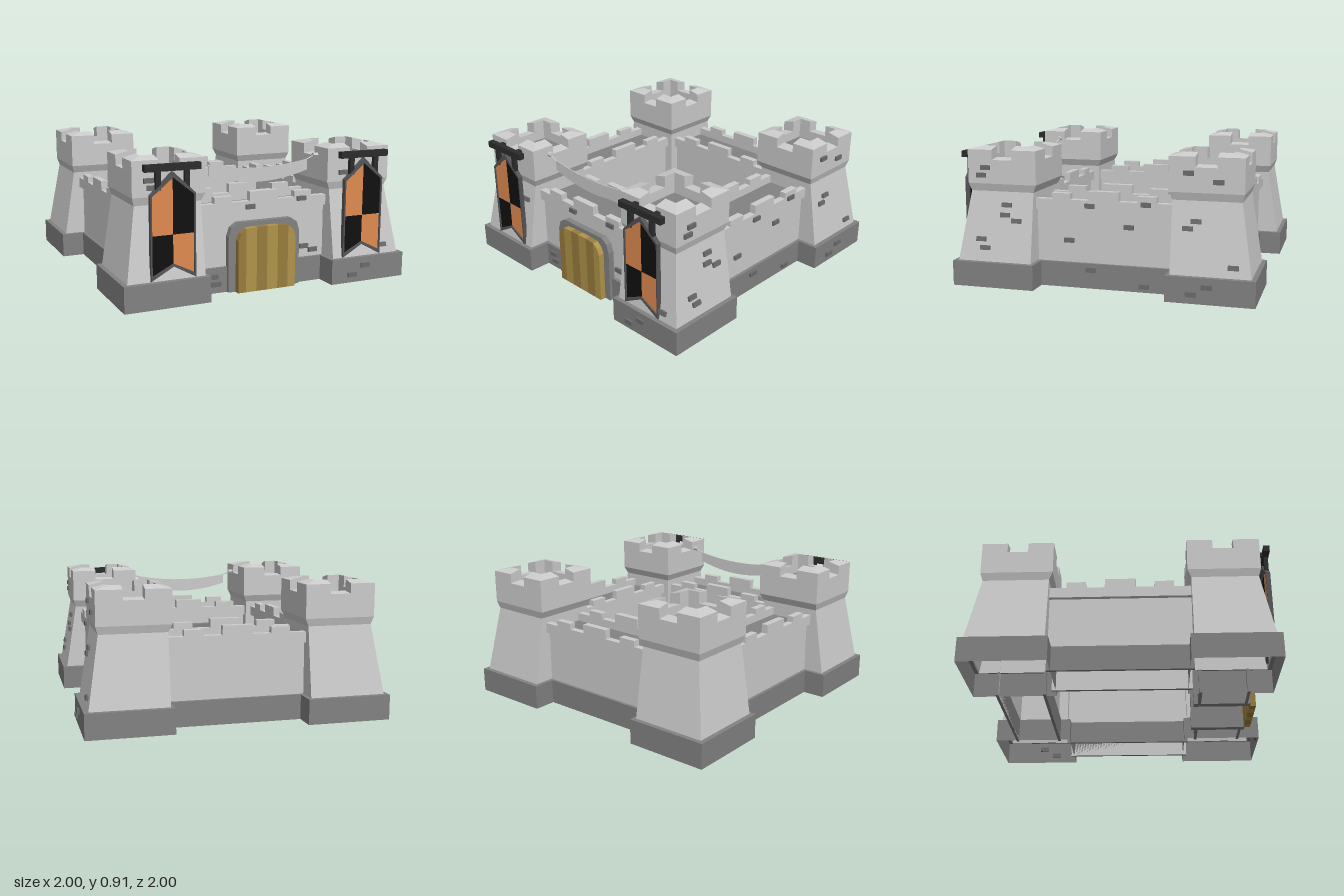
import * as THREE from 'three';

const mat = (color) => new THREE.MeshStandardMaterial({ color, flatShading: true, side: THREE.DoubleSide });
const stone = mat(0xcccccc), darkStone = mat(0x828282), brickMat = mat(0x6c6c6c);
const iron = mat(0x2c2c2c), trim = mat(0x555558), black = mat(0x111111), orange = mat(0xe08a50);
const plankMats = [mat(0xb0944a), mat(0x987c3c)];

function add(parent, name, geometry, material, x = 0, y = 0, z = 0) {
  const m = new THREE.Mesh(geometry, material);
  m.name = name;
  m.position.set(x, y, z);
  parent.add(m);
  return m;
}

// box given by its limits
function block(parent, name, material, x0, x1, y0, y1, z0, z1) {
  return add(parent, name, new THREE.BoxGeometry(x1 - x0, y1 - y0, z1 - z0), material,
    (x0 + x1) / 2, (y0 + y1) / 2, (z0 + z1) / 2);
}

const toShape = (pts) => new THREE.Shape(pts.map(([x, y]) => new THREE.Vector2(x, y)));
const slab = (pts, depth) => new THREE.ExtrudeGeometry(toShape(pts), { depth, bevelEnabled: false });
const mirrored = (half) => [...half, ...half.map(([x, y]) => [-x, y]).reverse()];

// open shell through rectangles [x0, x1, z0, z1, y]
function loft(rings) {
  const pos = [];
  const corners = ([a, b, c, d, y]) => [[a, y, d], [b, y, d], [b, y, c], [a, y, c]];
  for (let i = 0; i < rings.length - 1; i++) {
    const lo = corners(rings[i]), hi = corners(rings[i + 1]);
    for (let k = 0; k < 4; k++) {
      const n = (k + 1) % 4;
      pos.push(...lo[k], ...lo[n], ...hi[n], ...lo[k], ...hi[n], ...hi[k]);
    }
  }
  const g = new THREE.BufferGeometry();
  g.setAttribute('position', new THREE.Float32BufferAttribute(pos, 3));
  g.computeVertexNormals();
  return g;
}

// half of a corner merlon: mitred in plan, top sloping up inwards
function merlonArm(side) {
  const g = new THREE.BoxGeometry(2, 2, 2), p = g.attributes.position;
  for (let i = 0; i < p.count; i++) {
    const outer = p.getZ(i) > 0, d = outer ? 0.235 : 0.1525;
    const far = p.getX(i) * side > 0;
    p.setXYZ(i, side * (far ? d : 0.0675), p.getY(i) > 0 ? (outer ? 0.89 : 0.91) : 0.82, d);
  }
  g.computeVertexNormals();
  return g;
}

function tower(sx, sz) {
  const g = new THREE.Group();
  g.name = 'tower';
  const span = (s, o, i) => [Math.min(s * o, s * i), Math.max(s * o, s * i)];
  const ring = (o, i, y) => [...span(sx, o, i), ...span(sz, o, i), y];
  add(g, 'towerBase', loft([ring(0.992, 0.433, 0), ring(0.992, 0.433, 0.165), ring(0.96, 0.457, 0.166)]), darkStone);
  add(g, 'towerShaft', loft([ring(0.963, 0.457, 0.16), ring(0.888, 0.457, 0.62), ring(0.903, 0.433, 0.67),
    ring(0.903, 0.433, 0.825), ring(0.8205, 0.5155, 0.835), ring(0.8205, 0.5155, 0.77)]), stone);
  add(g, 'towerFloor', new THREE.PlaneGeometry(0.305, 0.305).rotateX(-Math.PI / 2), darkStone, sx * 0.668, 0.77, sz * 0.668);
  for (let k = 0; k < 4; k++) for (const s of [-1, 1])
    add(g, 'towerMerlon', merlonArm(s), stone, sx * 0.668, 0, sz * 0.668).rotation.y = k * Math.PI / 2;
  return g;
}

const archOuter = [[-0.255, 0], [-0.255, 0.36], [-0.235, 0.42], [-0.19, 0.45]];
const archInner = [[-0.205, 0], [-0.205, 0.34], [-0.185, 0.385], [-0.15, 0.415]];

// curtain wall facing +z, optionally pierced by the gate
function wall(gate) {
  const g = new THREE.Group();
  g.name = gate ? 'gateWall' : 'wall';
  const gap = gate ? mirrored(archOuter) : [];
  const face = toShape([[-0.46, 0], ...gap, [0.46, 0], [0.46, 0.52], [-0.46, 0.52]]);
  const sides = gate ? [[-0.46, -0.25], [0.25, 0.46]] : [[-0.46, 0.46]];
  for (const [z, zs0, zs1, zp0, zp1] of [[0.82, 0.82, 0.84, 0.803, 0.848], [0.525, 0.505, 0.525, 0.497, 0.542]]) {
    add(g, 'wallFace', new THREE.ShapeGeometry(face), stone, 0, 0, z);
    for (const [a, b] of sides) block(g, 'wallSkirt', darkStone, a, b, 0, 0.165, zs0, zs1);
    block(g, 'parapet', stone, -0.46, 0.46, 0.51, 0.58, zp0, zp1);
    for (const [x, w, h] of [[-0.285, 0.125, 0.04], [0, 0.2, 0.06], [0.285, 0.125, 0.04]])
      block(g, 'wallMerlon', stone, x - w / 2, x + w / 2, 0.58, 0.58 + h, zp0, zp1);
  }
  block(g, 'walkway', darkStone, -0.46, 0.46, 0.515, 0.525, 0.53, 0.815);
  return g;
}

function gateway() {
  const g = new THREE.Group();
  g.name = 'gateway';
  add(g, 'gateArch', slab([...mirrored(archOuter), ...mirrored(archInner).reverse()], 0.385), darkStone, 0, 0, 0.477);
  // planks follow the arch outline
  const edges = [[0, 0.42], [0.075, 0.42], [0.15, 0.415], [0.205, 0.34]];
  for (const s of [-1, 1]) for (let i = 0; i < 3; i++) {
    const [a, ha] = edges[i], [b, hb] = edges[i + 1];
    const top = i === 2 ? [[s * b, hb], [s * 0.185, 0.385]] : [[s * b, hb]];
    add(g, 'doorPlank', slab([[s * a, 0], [s * b, 0], ...top, [s * a, ha]], 0.045),
      plankMats[(i + (s > 0 ? 0 : 1)) % 2], 0, 0, 0.857);
  }
  return g;
}

function banner() {
  const g = new THREE.Group();
  g.name = 'banner';
  const outline = toShape([[-0.145, 0.17], [0, 0.25], [0.145, 0.17], [0.145, 0.69], [0, 0.825], [-0.145, 0.69]]);
  const inner = [[-0.135, 0.2], [0, 0.267], [0.135, 0.2], [0.135, 0.682], [0, 0.79], [-0.135, 0.682]];
  outline.holes.push(new THREE.Path(inner.map(([x, y]) => new THREE.Vector2(x, y))));
  add(g, 'bannerBorder', new THREE.ExtrudeGeometry(outline, { depth: 0.03, bevelEnabled: false }), trim, 0, 0, 0.943);
  for (const s of [-1, 1]) {
    const upper = [[0, 0.445], [s * 0.137, 0.445], [s * 0.137, 0.684], [0, 0.795]];
    const lower = [[0, 0.265], [s * 0.137, 0.195], [s * 0.137, 0.445], [0, 0.445]];
    add(g, 'bannerUpperCloth', slab(upper, 0.012), s < 0 ? orange : black, 0, 0, 0.952);
    add(g, 'bannerLowerCloth', slab(lower, 0.012), s < 0 ? black : orange, 0, 0, 0.952);
    block(g, 'bannerStrap', iron, s * 0.092 - 0.016, s * 0.092 + 0.016, 0.72, 0.84, 0.945, 0.972);
    block(g, 'bannerBracket', iron, s * 0.092 - 0.016, s * 0.092 + 0.016, 0.835, 0.865, 0.89, 0.95);
  }
  block(g, 'bannerRod', iron, -0.178, 0.178, 0.83, 0.872, 0.937, 0.977);
  return g;
}

// cloth hanging in a curve between the front towers
function festoon() {
  const g = new THREE.Group();
  g.name = 'festoon';
  const xs = Array.from({ length: 13 }, (_, i) => -0.355 + i * 0.71 / 12);
  const sag = (x, mid, end) => mid + (end - mid) * (x / 0.355) ** 2;
  const pts = [...xs.map((x) => [x, sag(x, 0.685, 0.742)]), ...xs.map((x) => [x, sag(x, 0.778, 0.812)]).reverse()];
  add(g, 'festoonCloth', slab(pts, 0.006), stone, 0, 0, 0.769);
  for (const s of [-1, 1]) {
    const rope = new THREE.LineCurve3(new THREE.Vector3(s * 0.35, 0.808, 0.772), new THREE.Vector3(s * 0.415, 0.835, 0.772));
    add(g, 'rope', new THREE.TubeGeometry(rope, 1, 0.005, 5), stone);
    add(g, 'ropePeg', new THREE.CylinderGeometry(0.016, 0.016, 0.04, 6).rotateZ(Math.PI / 2), stone, s * 0.418, 0.835, 0.772);
  }
  return g;
}

// loose bricks on a side facing +z, as [across, height]
function bricks(list) {
  const g = new THREE.Group();
  g.name = 'bricks';
  for (const [x, y] of list) {
    const onTower = Math.abs(x) > 0.45, sloped = onTower && y > 0.165 && y < 0.62;
    const depth = onTower
      ? (y < 0.165 ? 0.992 : sloped ? 0.963 - (y - 0.165) * 0.165 : 0.903)
      : (y < 0.165 ? 0.84 : y < 0.51 ? 0.82 : 0.848);
    const b = add(g, 'brick', new THREE.BoxGeometry(0.065, 0.03, 0.03), brickMat, x, y, depth);
    if (sloped) b.rotation.x = -0.163;
  }
  return g;
}

export function createModel() {
  const model = new THREE.Group();
  model.name = 'castle';
  const castle = new THREE.Group();
  castle.name = 'castleBody';
  castle.position.set(-0.007, 0, -0.007);
  model.add(castle);

  for (const sx of [-1, 1]) for (const sz of [-1, 1]) castle.add(tower(sx, sz));
  for (let k = 0; k < 4; k++) {
    const w = wall(k === 0);
    w.rotation.y = k * Math.PI / 2;
    castle.add(w);
  }
  castle.add(gateway(), festoon());
  for (const s of [-1, 1]) {
    const b = banner();
    b.position.x = s * 0.67;
    castle.add(b);
  }

  castle.add(bricks([[-0.355, 0.11], [-0.335, 0.06], [0.585, 0.055], [0.685, 0.11], [-0.1, 0.545], [0.27, 0.57],
    [0.31, 0.24], [0.38, 0.21], [-0.8, 0.77], [-0.78, 0.725], [-0.54, 0.505], [0.84, 0.225], [0.55, 0.73]]));
  const rightBricks = bricks([[-0.78, 0.775], [-0.81, 0.725], [-0.635, 0.535], [-0.645, 0.47], [-0.565, 0.435],
    [-0.805, 0.31], [-0.775, 0.255], [-0.24, 0.31], [-0.09, 0.125], [-0.09, 0.545], [0.16, 0.415], [0.28, 0.57],
    [0.265, 0.04], [0.56, 0.79], [0.745, 0.74], [0.56, 0.45], [0.61, 0.495], [0.695, 0.11], [0.595, 0.06], [0.85, 0.23]]);
  rightBricks.rotation.y = Math.PI / 2;
  castle.add(rightBricks);
  return model;
}
